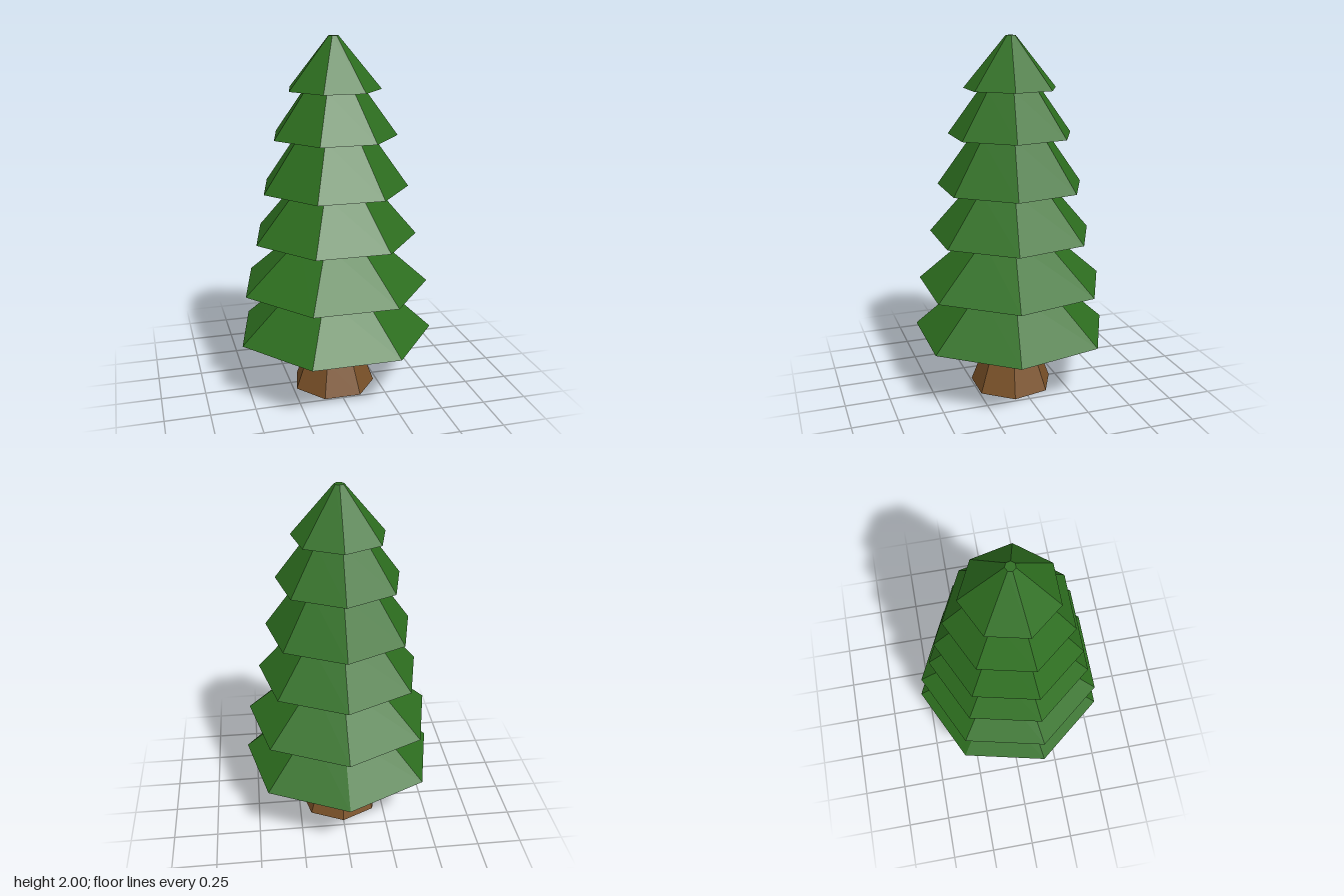
import * as THREE from 'three';

const SIDES = 7;

// Seven-sided faceted solid from [radius, y] pairs listed bottom to top, one corner to the back
function facetedLathe(name, profile, material) {
  const points = profile.map(([r, y]) => new THREE.Vector2(r, y));
  const mesh = new THREE.Mesh(new THREE.LatheGeometry(points, SIDES, Math.PI, Math.PI * 2), material);
  mesh.name = name;
  return mesh;
}

export function createModel() {
  const tree = new THREE.Group();
  tree.name = 'pineTree';
  const bark = new THREE.MeshStandardMaterial({ color: 0x7a5128, flatShading: true });
  const needles = new THREE.MeshStandardMaterial({ color: 0x2d6e1f, flatShading: true });

  // Trunk: flared foot, straight stem, slight flare under the branches
  tree.add(facetedLathe('trunk', [[0, 0], [0.238, 0], [0.168, 0.185], [0.172, 0.34], [0.193, 0.4]], bark));

  // Branch tiers: rim radius, rim height, radius where the next tier begins
  const tiers = [
    [0.563, 0.34, 0.247],
    [0.535, 0.625, 0.212],
    [0.465, 0.91, 0.228],
    [0.415, 1.185, 0.212],
    [0.35, 1.47, 0.168],
    [0.26, 1.72, 0.027],
  ];
  let innerRadius = 0.193;
  let recess = 0.06;
  tiers.forEach(([rim, y, top], i) => {
    const next = tiers[i + 1];
    // Slightly hollow underside, then the sloping skirt
    const profile = [[innerRadius, y + recess], [rim, y], [top, next ? next[1] : 2]];
    if (next) profile.push([top, next[1] + 0.025]);
    else profile.push([0, 2]); // blunt tip
    tree.add(facetedLathe(`branchTier${i + 1}`, profile, needles));
    innerRadius = top;
    recess = 0.025;
  });

  // Centre the odd-sided outline in depth
  tree.children.forEach((part) => { part.position.z = 0.027; });
  return tree;
}
